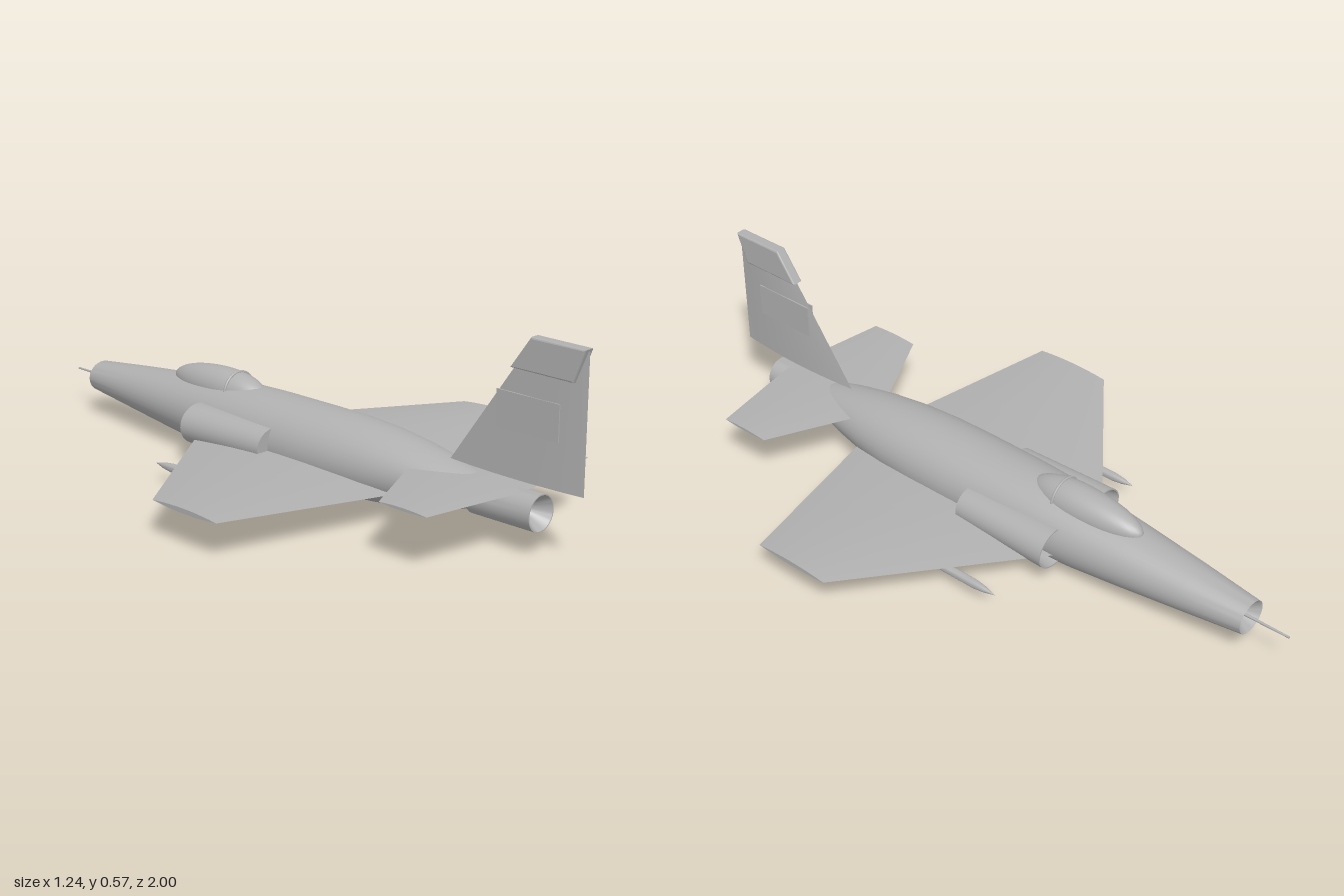
import * as THREE from 'three';
import { toCreasedNormals } from 'three/addons/utils/BufferGeometryUtils.js';

const grey = new THREE.MeshStandardMaterial({ color: 0xb0b0b0 });
grey.name = 'airframe grey';

function add(parent, name, geometry) {
  const mesh = new THREE.Mesh(geometry, grey);
  mesh.name = name;
  parent.add(mesh);
  return mesh;
}

// Skin a row of closed rings (counter-clockwise seen from the far end), with optional end caps
function loft(rings, caps = true) {
  const n = rings[0].length, pos = [], idx = [];
  rings.forEach(r => r.forEach(p => pos.push(...p)));
  for (let k = 0; k < rings.length - 1; k++) {
    for (let i = 0; i < n; i++) {
      const a = k * n + i, b = k * n + (i + 1) % n;
      idx.push(a, b, a + n, b, b + n, a + n);
    }
  }
  if (caps) {
    const e = (rings.length - 1) * n;
    for (let i = 1; i < n - 1; i++) idx.push(0, i + 1, i, e, e + i, e + i + 1);
  }
  const g = new THREE.BufferGeometry();
  g.setAttribute('position', new THREE.Float32BufferAttribute(pos, 3));
  g.setIndex(idx);
  return toCreasedNormals(g, 0.6);
}

// Elliptical ring across z
function oval(cx, cy, z, rx, ry, n = 36) {
  return Array.from({ length: n }, (_, i) => {
    const a = i / n * Math.PI * 2;
    return [cx + rx * Math.cos(a), cy + ry * Math.sin(a), z];
  });
}

// Lens-shaped section from leading to trailing edge and back
const bulge = u => 2 * u * (1 - u);
function foil(le, te, thick, place, n = 10) {
  const ring = [];
  for (let i = 0; i < 2 * n; i++) {
    const u = i <= n ? i / n : 2 - i / n;
    ring.push(place(le + (te - le) * u, (i <= n ? 1 : -1) * thick * bulge(u)));
  }
  return ring;
}

// Symmetric flying surface; stations are [x, y, leading z, trailing z, thickness] from root to tip
function span(stations) {
  const left = stations.map(s => [-s[0], ...s.slice(1)]).reverse();
  return loft([...left, ...stations].map(([x, y, le, te, t]) =>
    foil(le, te, t, (z, off) => [x, y + off, z])));
}

export function createModel() {
  const model = new THREE.Group();
  model.name = 'jetAircraft';

  // Fuselage: z, half width, bottom, top; the first ring is the nose recess
  add(model, 'fuselage', loft([
    [-0.82, 0.003, 0.114, 0.12], [-0.877, 0.05, 0.073, 0.16], [-0.88, 0.054, 0.07, 0.164],
    [-0.7, 0.076, 0.051, 0.184], [-0.5, 0.099, 0.03, 0.204], [-0.35, 0.114, 0.015, 0.218],
    [-0.22, 0.123, 0.006, 0.227], [-0.1, 0.129, 0.002, 0.23], [0.1, 0.132, 0, 0.23],
    [0.22, 0.13, 0.003, 0.229], [0.34, 0.122, 0.013, 0.222], [0.45, 0.108, 0.028, 0.209],
    [0.55, 0.089, 0.048, 0.191], [0.63, 0.069, 0.068, 0.174], [0.69, 0.048, 0.085, 0.158],
  ].map(([z, w, b, t]) => oval(0, (b + t) / 2, z, w, (t - b) / 2))));

  // Pitot probe in the nose
  add(model, 'noseProbe', new THREE.CylinderGeometry(0.003, 0.005, 0.18, 10)
    .rotateX(-Math.PI / 2).translate(0, 0.117, -0.91));

  // Tail pipe with recessed end
  add(model, 'tailPipe', loft([
    [0.66, 0.05, 0.112], [0.87, 0.051, 0.115], [0.87, 0.048, 0.115], [0.8, 0.002, 0.115],
  ].map(([z, r, y]) => oval(0, y, z, r, r))));

  // Canopy: ellipsoid, longer toward the nose, with a frame arch
  const glass = new THREE.SphereGeometry(1, 32, 24);
  const gp = glass.attributes.position;
  for (let i = 0; i < gp.count; i++) {
    const z = gp.getZ(i);
    gp.setXYZ(i, gp.getX(i) * 0.06, 0.2 + gp.getY(i) * 0.06, -0.3 + z * (z > 0 ? 0.16 : 0.22));
  }
  glass.computeVertexNormals();
  add(model, 'canopy', glass);
  add(model, 'canopyFrame', new THREE.TorusGeometry(0.058, 0.004, 8, 32, Math.PI)
    .translate(0, 0.2, -0.25));

  // Side air intakes
  for (const s of [1, -1]) {
    add(model, s > 0 ? 'leftIntake' : 'rightIntake', loft([
      [-0.25, 0.05, 0.045], [-0.307, 0.066, 0.056], [-0.307, 0.07, 0.06], [0.005, 0.06, 0.054],
    ].map(([z, rx, ry]) => oval(s * 0.11, 0.115, z, rx, ry))));
  }

  // Main wing and tailplane
  const root = [0.1, 0.085, -0.31, 0.455, 0.045], tip = [0.62, 0.108, 0.085, 0.33, 0.014];
  add(model, 'wings', span([root, tip]));
  add(model, 'tailplane', span([
    [0.03, 0.163, 0.462, 0.817, 0.012], [0.325, 0.163, 0.61, 0.77, 0.008],
  ]));

  // Round panels following the upper wing surface
  const wingTop = (x, z) => {
    const k = (Math.abs(x) - root[0]) / (tip[0] - root[0]);
    const [, y, le, te, t] = root.map((v, i) => v + (tip[i] - v) * k);
    return y + t * bulge((z - le) / (te - le));
  };
  for (const s of [1, -1]) {
    const disc = new THREE.RingGeometry(0.0005, 0.125, 40, 8).rotateX(-Math.PI / 2)
      .translate(s * 0.386, 0, 0.143);
    const p = disc.attributes.position;
    for (let i = 0; i < p.count; i++) p.setY(i, wingTop(p.getX(i), p.getZ(i)) + 0.002);
    disc.computeVertexNormals();
    add(model, s > 0 ? 'leftWingPanel' : 'rightWingPanel', disc);
  }

  // Fin, its thicker cap and side panels
  add(model, 'fin', loft([[0.19, 0.565, 0.024], [0.565, 0.828, 0.014]].map(([y, le, t]) =>
    foil(le, 1, t, (z, off) => [-off, y, z]))));
  const capShape = new THREE.Shape([[0.772, 0.486], [0.96, 0.486], [0.993, 0.568], [0.832, 0.568]]
    .map(p => new THREE.Vector2(...p)));
  add(model, 'finCap', new THREE.ExtrudeGeometry(capShape, {
    depth: 0.024, bevelEnabled: true, bevelSize: 0.005, bevelThickness: 0.005, bevelSegments: 2,
  }).translate(0, 0, -0.012).rotateY(-Math.PI / 2));
  for (const s of [1, -1]) {
    add(model, s > 0 ? 'leftFinPanel' : 'rightFinPanel',
      new THREE.BoxGeometry(0.004, 0.1, 0.2).translate(s * 0.009, 0.367, 0.822));
  }

  // Missiles on pylons
  for (const s of [1, -1]) {
    const missile = new THREE.Group();
    missile.name = s > 0 ? 'leftMissile' : 'rightMissile';
    missile.position.set(s * 0.312, 0.052, 0);
    const outline = [[0, -0.165], [0.013, -0.165], [0.013, 0.19], [0.009, 0.225], [0, 0.262]]
      .map(p => new THREE.Vector2(...p));
    add(missile, 'missileBody', toCreasedNormals(
      new THREE.LatheGeometry(outline, 16).rotateX(-Math.PI / 2), 0.6));
    add(missile, 'missileFinsFlat', new THREE.BoxGeometry(0.06, 0.004, 0.04).translate(0, 0, 0.14));
    add(missile, 'missileFinsUpright', new THREE.BoxGeometry(0.004, 0.06, 0.04).translate(0, 0, 0.14));
    add(missile, 'pylon', new THREE.BoxGeometry(0.008, 0.045, 0.17).translate(0, 0.025, 0.02));
    model.add(missile);
  }
  return model;
}
